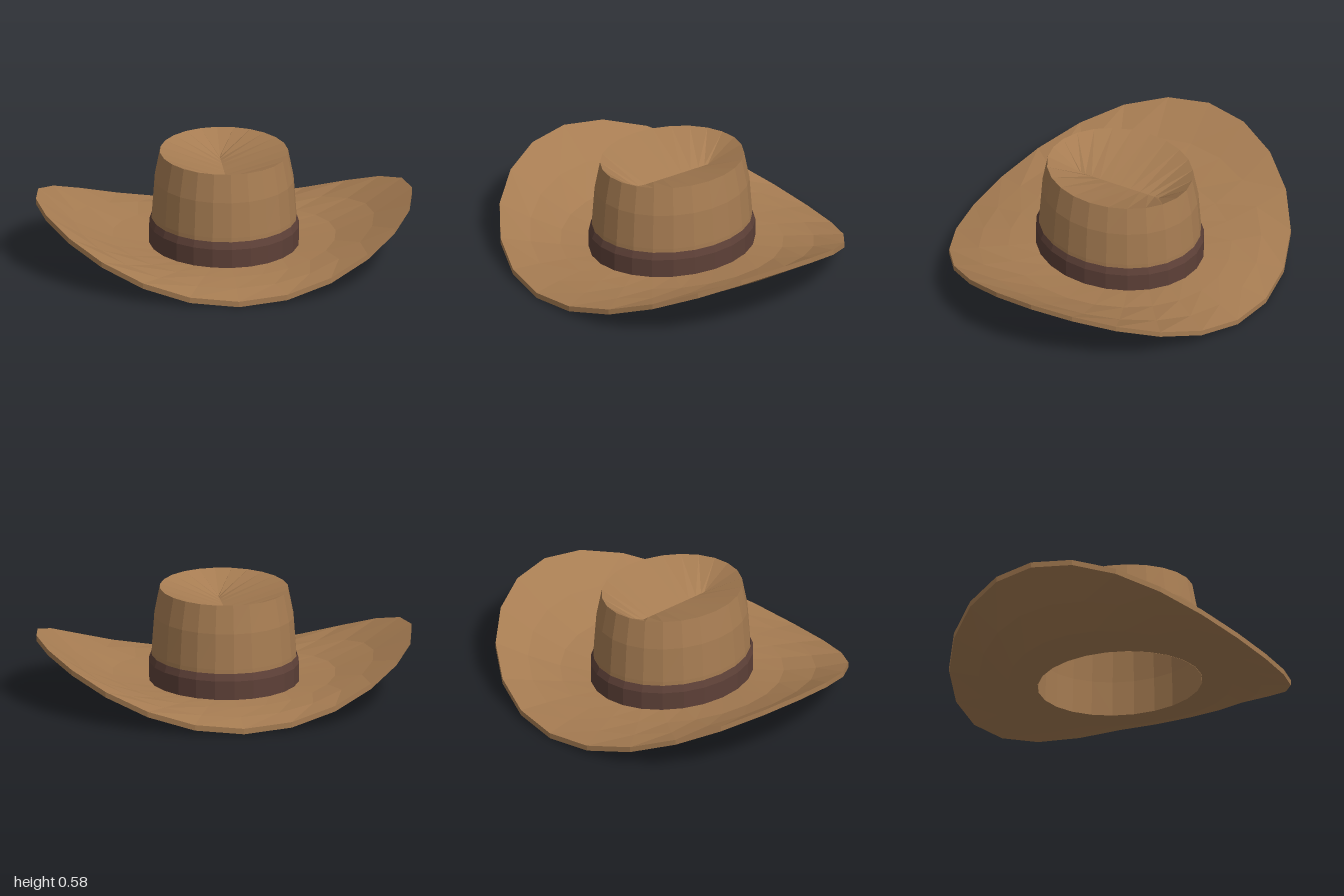
import * as THREE from 'three';

const SIDES = 24;

// Skin a list of rings; each ring is a function of the angle returning [x, y, z].
// Rings run upwards on outward-facing walls. Facets stay flat.
function loft(rings) {
  const positions = [], index = [];
  rings.forEach((ring, i) => {
    for (let j = 0; j < SIDES; j++) {
      positions.push(...ring((j / SIDES) * Math.PI * 2));
      if (i === rings.length - 1) continue;
      const k = (j + 1) % SIDES;
      const a = i * SIDES + j, b = i * SIDES + k;
      const c = a + SIDES, d = b + SIDES;
      index.push(a, c, b, b, c, d);
    }
  });
  const indexed = new THREE.BufferGeometry();
  indexed.setAttribute('position', new THREE.Float32BufferAttribute(positions, 3));
  indexed.setIndex(index);
  const geometry = indexed.toNonIndexed();
  geometry.computeVertexNormals();
  return geometry;
}

const oval = (rx, rz, y) => (a) => [rx * Math.cos(a), y, rz * Math.sin(a)];

// Brim ring: t runs from the head opening (0) to the outer edge (1);
// the sides curl up while the front and back droop.
const brimRing = (t, lift) => (a) => {
  const c = Math.cos(a);
  const y = 0.05 + lift - 0.05 * t * t + 0.315 * Math.pow(t, 1.8) * c * c;
  return [(0.39 + 0.61 * t) * c, y, (0.45 + 0.425 * t) * Math.sin(a)];
};

export function createModel() {
  const hat = new THREE.Group();
  hat.name = 'hat';

  const felt = new THREE.MeshStandardMaterial({ color: 0xa67c52, side: THREE.DoubleSide });
  felt.name = 'tan felt';
  const leather = new THREE.MeshStandardMaterial({ color: 0x5d4037, side: THREE.DoubleSide });
  leather.name = 'dark brown band';

  const add = (name, rings, material) => {
    const mesh = new THREE.Mesh(loft(rings), material);
    mesh.name = name;
    hat.add(mesh);
  };

  // Brim: underside outwards, top side back inwards, then the opening's edge
  const steps = [0, 1 / 3, 2 / 3, 1];
  add('brim', [
    ...steps.map((t) => brimRing(t, 0)),
    ...[...steps].reverse().map((t) => brimRing(t, 0.03)),
    brimRing(0, 0),
  ], felt);

  // Crown: tapered wall, then the top sinking to a front-to-back crease
  add('crown', [
    oval(0.388, 0.448, 0.05),
    oval(0.384, 0.442, 0.24),
    oval(0.37, 0.428, 0.43),
    oval(0.34, 0.4, 0.58),
    oval(0, 0.24, 0.467),
  ], felt);

  // Band around the foot of the crown
  add('band', [
    oval(0.398, 0.46, 0.065),
    oval(0.398, 0.46, 0.18),
    oval(0.385, 0.444, 0.218),
  ], leather);

  return hat;
}
